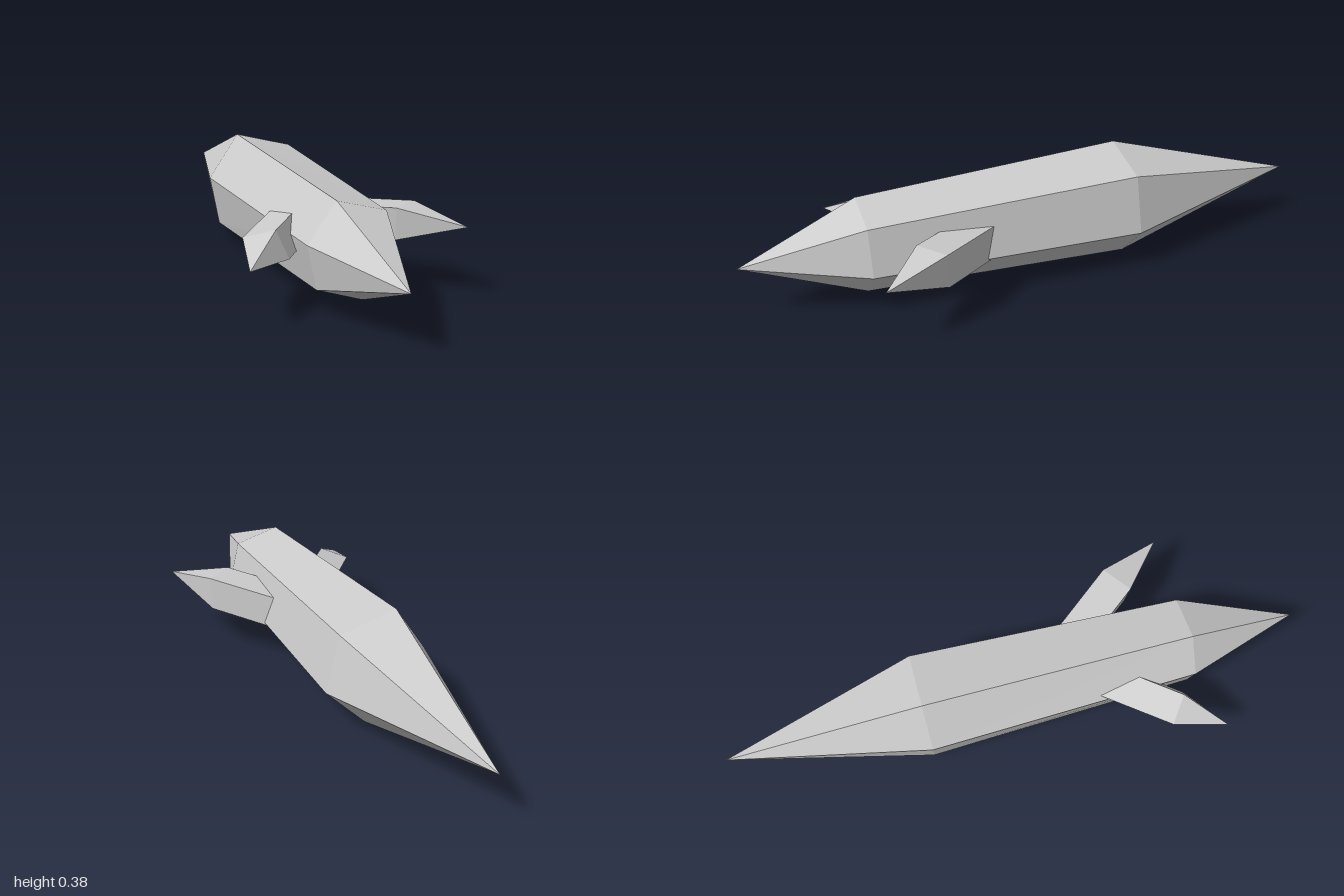
import * as THREE from 'three';

// Faceted solid from sections listed back to front; each ring runs clockwise seen from the front tip.
function crystal(name, sections, material) {
  const n = Math.max(...sections.map((s) => s.length));
  const at = (s, i) => s[i % s.length];
  const pos = [];
  for (let k = 0; k < sections.length - 1; k++) {
    const a = sections[k], b = sections[k + 1];
    for (let i = 0; i < n; i++) {
      if (b.length > 1) pos.push(...at(a, i), ...at(b, i), ...at(b, i + 1));
      if (a.length > 1) pos.push(...at(a, i), ...at(b, i + 1), ...at(a, i + 1));
    }
  }
  const geometry = new THREE.BufferGeometry();
  geometry.setAttribute('position', new THREE.Float32BufferAttribute(pos, 3));
  geometry.computeVertexNormals();
  const mesh = new THREE.Mesh(geometry, material);
  mesh.name = name;
  return mesh;
}

// Four-sided shard: shoulder ring swept back into the body and closed there, with a pointed tip.
function shard(name, shoulder, sweep, tip, material) {
  const root = shoulder.map((p) => p.map((v, i) => v + sweep[i]));
  const centre = [0, 1, 2].map((i) => root.reduce((sum, p) => sum + p[i] / root.length, 0));
  return crystal(name, [[centre], root, shoulder, [tip]], material);
}

export function createModel() {
  const group = new THREE.Group();
  group.name = 'crystalCluster';
  const stone = new THREE.MeshStandardMaterial({ color: 0xcccccc, flatShading: true });
  stone.name = 'grey stone';

  // Long six-sided body, pointed at both ends
  const ring = (z, points) => points.map(([x, y]) => [x, y, z]);
  group.add(crystal('mainCrystal', [
    [[-0.027, 0.188, -1]],
    ring(-0.325, [[-0.082, 0.383], [0.116, 0.333], [0.163, 0.14], [0.025, 0.002], [-0.155, 0.058], [-0.187, 0.228]]),
    ring(0.6, [[-0.07, 0.345], [0.087, 0.304], [0.125, 0.148], [0.015, 0.038], [-0.13, 0.084], [-0.16, 0.221]]),
    [[-0.027, 0.188, 1]],
  ], stone));

  // Small shards growing out of each side
  group.add(shard('leftShard',
    [[0.18, 0.272, 0.47], [0.275, 0.272, 0.4], [0.272, 0.155, 0.395], [0.187, 0.167, 0.46]],
    [-0.175, -0.025, -0.23], [0.35, 0.232, 0.615], stone));
  group.add(shard('rightShard',
    [[-0.312, 0.225, 0.47], [-0.23, 0.255, 0.53], [-0.195, 0.17, 0.55], [-0.263, 0.133, 0.49]],
    [0.18, 0.02, -0.24], [-0.35, 0.18, 0.66], stone));
  return group;
}
